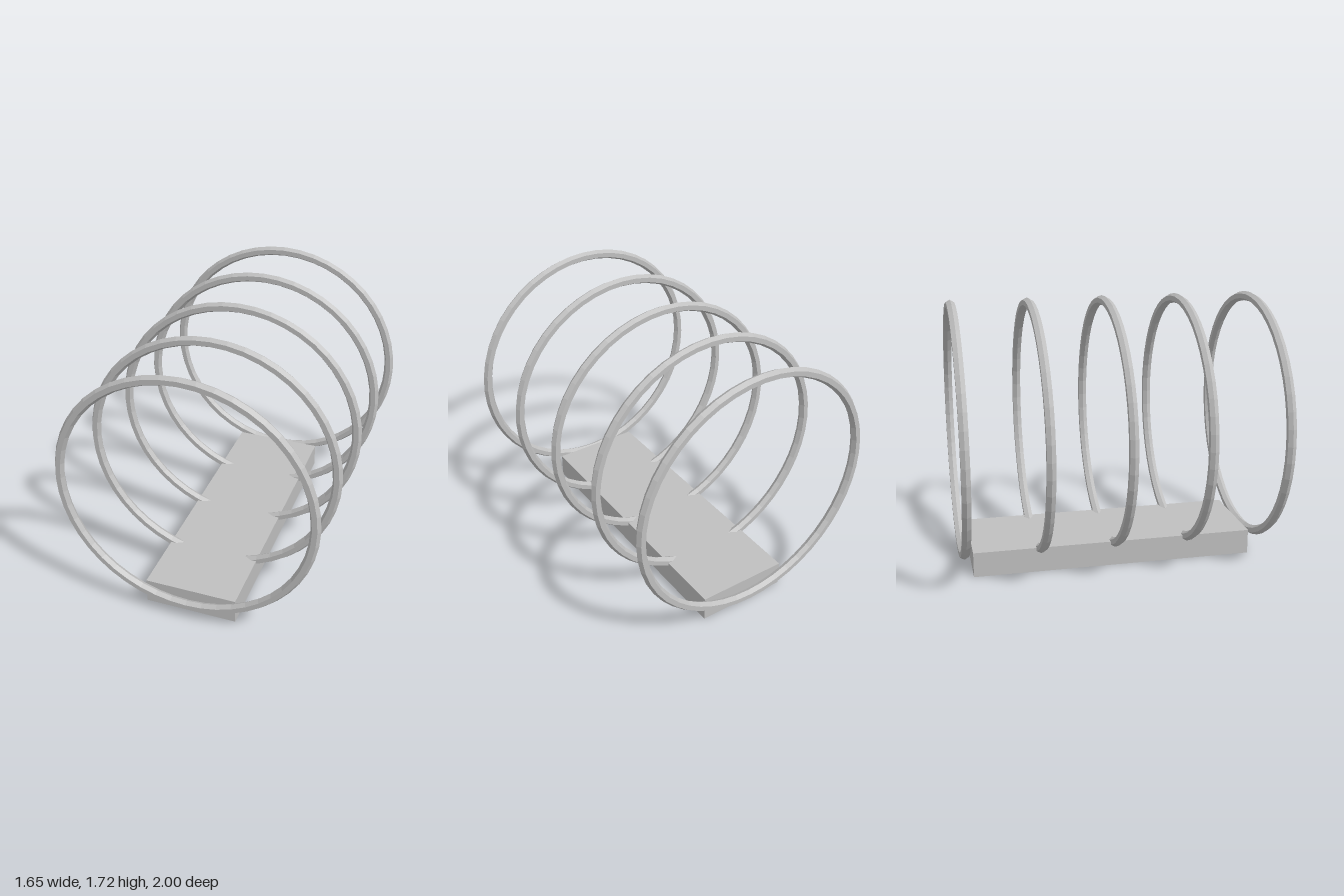
import * as THREE from 'three';

export function createModel() {
  const model = new THREE.Group();
  const grey = new THREE.MeshStandardMaterial({ color: 0xbfbfbf });
  grey.name = 'grey';
  grey.flatShading = true;

  // Flat block that carries the hoops
  const base = new THREE.Mesh(new THREE.BoxGeometry(0.594, 0.163, 1.834), grey);
  base.name = 'base';
  base.position.y = 0.163 / 2;
  model.add(base);

  // Five evenly spaced hoops with a six-sided section
  const hoopGeometry = new THREE.TorusGeometry(0.793, 0.031, 6, 48);
  for (let i = 0; i < 5; i++) {
    const hoop = new THREE.Mesh(hoopGeometry, grey);
    hoop.name = `hoop${i + 1}`;
    hoop.position.set(0, 0.894, (i - 2) * 0.4865);
    model.add(hoop);
  }
  return model;
}
